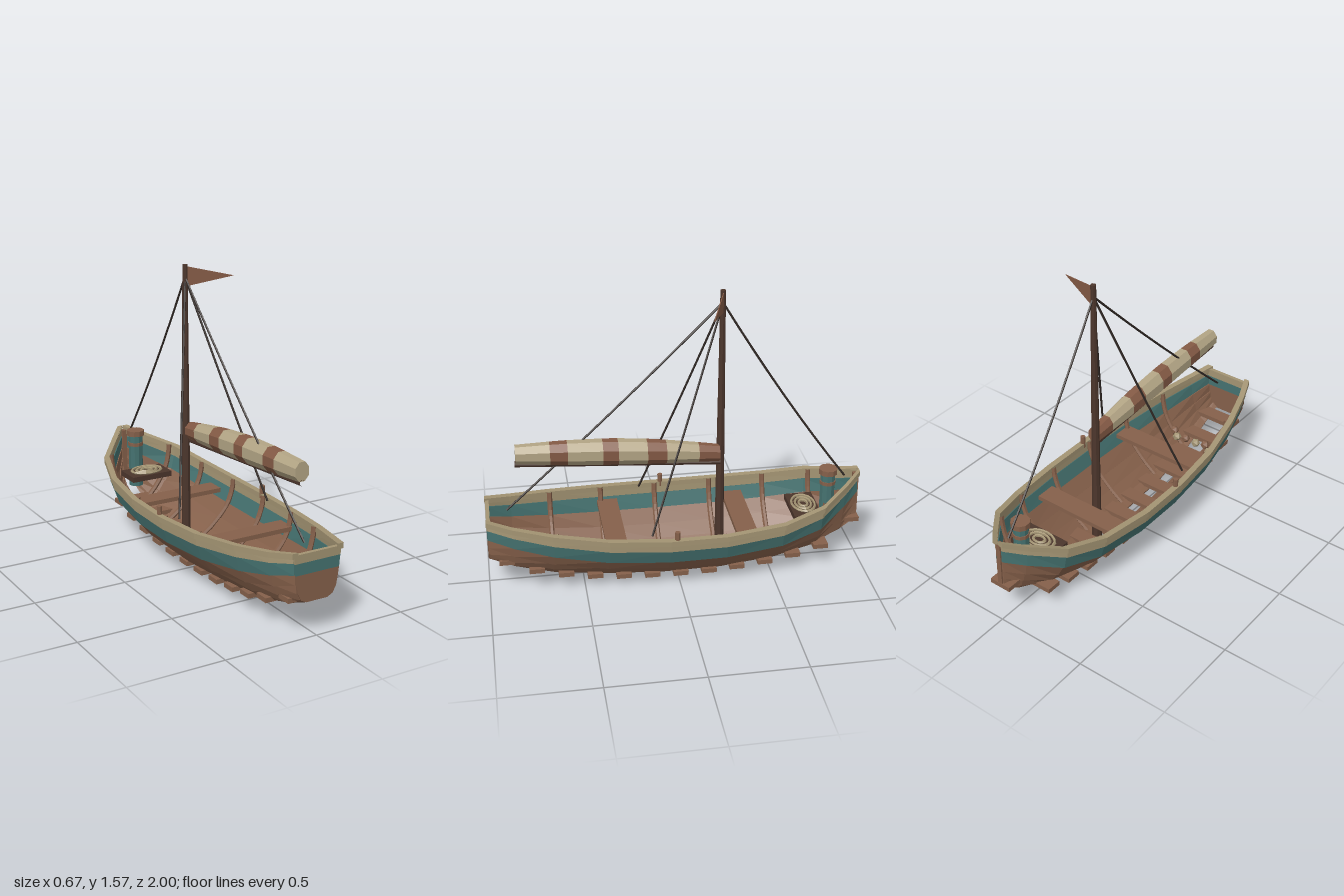
import * as THREE from 'three';

const material = (name, color) => {
  const m = new THREE.MeshStandardMaterial({ color });
  m.name = name;
  return m;
};
const wood = material('brown wood', 0x85604a);
const teal = material('teal paint', 0x457270);
const cream = material('cream paint', 0xa39473);
const canvas = material('pale canvas', 0xb3a585);
const band = material('brown canvas', 0x845a45);
const spar = material('dark spar', 0x4c362c);
const rope = material('dark rope', 0x332b27);

// Hull stations: z, sheer height, keel height, half width
const STATIONS = [
  [-0.99, 0.505, 0.22, 0.018], [-0.9, 0.465, 0.17, 0.10], [-0.75, 0.415, 0.095, 0.225],
  [-0.53, 0.37, 0.045, 0.29], [-0.23, 0.35, 0.014, 0.32], [0.07, 0.348, 0.012, 0.32],
  [0.38, 0.36, 0.03, 0.295], [0.66, 0.385, 0.075, 0.24], [0.86, 0.41, 0.135, 0.18],
  [0.99, 0.435, 0.19, 0.13],
];
const V = [1, 0.82, 0.58, 0.37, 0.2, 0.06, 0];
const U = [1, 0.97, 0.86, 0.65, 0.43, 0.2, 0];
const U_STERN = [1, 0.98, 0.92, 0.86, 0.78, 0.6, 0.3];
const STRAKE_MATERIALS = [cream, teal, wood, wood, wood, wood];

function hullAt(z) {
  let i = 0;
  while (i < STATIONS.length - 2 && z > STATIONS[i + 1][0]) i++;
  const a = STATIONS[i], b = STATIONS[i + 1];
  const t = THREE.MathUtils.clamp((z - a[0]) / (b[0] - a[0]), 0, 1);
  const [sheer, keel, width] = [1, 2, 3].map(k => a[k] + (b[k] - a[k]) * t);
  return { sheer, keel, width };
}

// Half cross-section, from the rail down to the open centre seam
function section(z) {
  const { sheer, keel, width } = hullAt(z);
  const gap = Math.min(0.03, width * 0.7);
  const full = THREE.MathUtils.clamp((z - 0.3) / 0.7, 0, 1) ** 2;
  return V.map((v, i) => new THREE.Vector2(
    gap + (width - gap) * THREE.MathUtils.lerp(U[i], U_STERN[i], full),
    keel + (sheer - keel) * v));
}

function flat(geometry) {
  const g = geometry.index ? geometry.toNonIndexed() : geometry;
  g.computeVertexNormals();
  return g;
}

// Solid through rings of equal length, with capped ends
function loft(rings) {
  const n = rings[0].length, tris = [];
  for (let r = 0; r < rings.length - 1; r++) {
    for (let i = 0; i < n; i++) {
      const a = rings[r][i], b = rings[r][(i + 1) % n];
      const c = rings[r + 1][(i + 1) % n], d = rings[r + 1][i];
      tris.push([a, b, c], [a, c, d]);
    }
  }
  const first = rings[0], last = rings[rings.length - 1];
  for (let i = 1; i < n - 1; i++) {
    tris.push([first[0], first[i + 1], first[i]], [last[0], last[i], last[i + 1]]);
  }
  let volume = 0;
  for (const [a, b, c] of tris) volume += a.dot(b.clone().cross(c));
  if (volume < 0) tris.forEach(t => t.reverse());
  return flat(new THREE.BufferGeometry().setFromPoints(tris.flat()));
}

export function createModel() {
  const boat = new THREE.Group();
  boat.name = 'sailing boat';
  const add = (name, geometry, mat, x = 0, y = 0, z = 0) => {
    const mesh = new THREE.Mesh(flat(geometry), mat);
    mesh.name = name;
    mesh.position.set(x, y, z);
    boat.add(mesh);
    return mesh;
  };
  const box = (name, mat, w, h, d, x, y, z) => add(name, new THREE.BoxGeometry(w, h, d), mat, x, y, z);

  for (const side of [-1, 1]) {
    // Overlapping hull planks
    STRAKE_MATERIALS.forEach((mat, i) => {
      const rings = STATIONS.map(([z]) => {
        const s = section(z), top = s[i], low = s[i + 1];
        const out = new THREE.Vector2(top.y - low.y, low.x - top.x).normalize();
        return [[top, 0], [low, 0.007], [low, -0.008], [top, -0.014]].map(([p, k]) =>
          new THREE.Vector3(side * Math.max(0.002, p.x + out.x * k), p.y + out.y * k, z));
      });
      add('hullPlank', loft(rings), mat);
    });

    // Gunwale
    add('gunwale', loft(STATIONS.map(([z, y, , w]) =>
      [[-0.02, 0.008], [0.013, 0.008], [0.013, -0.02], [-0.02, -0.02]].map(([dx, dy]) =>
        new THREE.Vector3(side * Math.max(0.002, w + dx), y + dy, z * 1.008)))), cream);

    // Ribs along the inside of the planking
    for (const z of [-0.77, -0.53, -0.235, 0.07, 0.37, 0.65]) {
      const points = section(z).slice(0, 6).map(p =>
        new THREE.Vector3(side * Math.max(0.01, p.x - 0.022), p.y + 0.008, z));
      add('rib', new THREE.TubeGeometry(new THREE.CatmullRomCurve3(points), 10, 0.014, 6), wood);
    }

    // Oar pins
    add('oarPin', new THREE.CylinderGeometry(0.014, 0.014, 0.07, 7), wood, side * 0.312, 0.365, 0.035);
  }

  // Floor timbers whose ends reach through the bottom
  for (let k = -6; k <= 6; k++) {
    const z = k === -6 ? -0.96 : -0.01 + k * 0.152;
    const { keel, width } = hullAt(z);
    const half = Math.min(0.15, width * 0.55 + 0.035);
    box('floorTimber', wood, half * 2, 0.025, 0.08, 0, keel + 0.03, z);
  }

  // Transom, one board per plank
  const stern = section(0.99);
  STRAKE_MATERIALS.forEach((mat, i) => {
    const a = stern[i], b = stern[i + 1];
    const shape = new THREE.Shape([
      new THREE.Vector2(-a.x, a.y), new THREE.Vector2(-b.x, b.y),
      new THREE.Vector2(b.x, b.y), new THREE.Vector2(a.x, a.y)]);
    add('transom', new THREE.ExtrudeGeometry(shape, { depth: 0.02, bevelEnabled: false }), mat, 0, -0.005, 0.975);
  });
  box('stem', wood, 0.026, 0.27, 0.03, 0, 0.355, -0.983);

  // Seats
  box('frontThwart', wood, 0.51, 0.024, 0.11, 0, 0.28, -0.355);
  box('rearThwart', wood, 0.54, 0.024, 0.11, 0, 0.28, 0.335);

  // Mast and pennant
  add('mast', new THREE.CylinderGeometry(0.014, 0.026, 1.54, 8), spar, 0, 0.805, -0.24);
  const flag = new THREE.Vector3(0.24, 1.51, -0.15);
  const hoist = [new THREE.Vector3(0.005, 1.565, -0.24), new THREE.Vector3(0.005, 1.46, -0.24)];
  const lift = new THREE.Vector3(0.002, 0, -0.004);
  add('pennant', loft([[hoist[0], hoist[1], flag], [hoist[0], hoist[1], flag].map(p => p.clone().add(lift))]), band);

  // Boom with the furled, striped sail
  const boom = new THREE.LineCurve3(new THREE.Vector3(0.02, 0.632, -0.235), new THREE.Vector3(0.02, 0.705, 0.83));
  add('boom', new THREE.TubeGeometry(boom, 1, 0.016, 7), spar);
  const sailRing = z => {
    const t = (z + 0.23) / 1.06;
    const ry = 0.046 + 0.022 * Math.sin(Math.PI * t) + 0.006 * t;
    const y = 0.685 + 0.075 * t + 0.012 * Math.sin(Math.PI * t);
    return Array.from({ length: 8 }, (_, i) => {
      const a = (i + 0.5) * Math.PI / 4;
      return new THREE.Vector3(0.02 + Math.cos(a) * ry * 0.8, y + Math.sin(a) * ry, z);
    });
  };
  const cuts = [-0.23, -0.12, 0.05, 0.15, 0.30, 0.38, 0.56, 0.65, 0.825];
  for (let i = 0; i < cuts.length - 1; i++) {
    add('furledSail', loft([sailRing(cuts[i]), sailRing(cuts[i + 1])]), i % 2 ? canvas : band);
  }

  // Rigging, sagging slightly
  const masthead = new THREE.Vector3(0, 1.51, -0.24);
  const line = (name, x, y, z, sag) => {
    const end = new THREE.Vector3(x, y, z);
    const mid = masthead.clone().lerp(end, 0.5);
    mid.y -= sag;
    add(name, new THREE.TubeGeometry(new THREE.QuadraticBezierCurve3(masthead, mid, end), 8, 0.006, 5), rope);
  };
  line('forestay', 0, 0.48, -0.92, 0.06);
  line('backstay', 0, 0.43, 0.885, 0.03);
  for (const side of [-1, 1]) line('shroud', side * 0.265, 0.36, 0.16, 0.02);

  // Mooring post in the bow
  add('bowPost', new THREE.CylinderGeometry(0.04, 0.04, 0.3, 10), teal, 0, 0.35, -0.83);
  add('bowPostCap', new THREE.CylinderGeometry(0.05, 0.05, 0.03, 10), wood, 0, 0.515, -0.83);
  add('bowPostBand', new THREE.CylinderGeometry(0.044, 0.044, 0.02, 10), wood, 0, 0.45, -0.83);

  // Coiled rope on the bow locker
  box('lockerLid', spar, 0.245, 0.03, 0.15, 0, 0.305, -0.7);
  for (const r of [0.03, 0.055, 0.08]) {
    const coil = new THREE.TorusGeometry(r, 0.008, 5, 16);
    coil.rotateX(Math.PI / 2);
    coil.scale(1.1, 1, 0.78);
    add('ropeCoil', coil, cream, 0, 0.326, -0.7);
  }

  // Net floats heaped near the stern
  [-0.13, -0.085, -0.04, 0.05, 0.09, 0.13].forEach((x, i) => {
    add('netFloat', new THREE.IcosahedronGeometry(0.026, 0), i % 2 ? wood : cream, x, 0.15 + (i % 3) * 0.012, 0.62 + (i % 2) * 0.03);
  });

  return boat;
}
